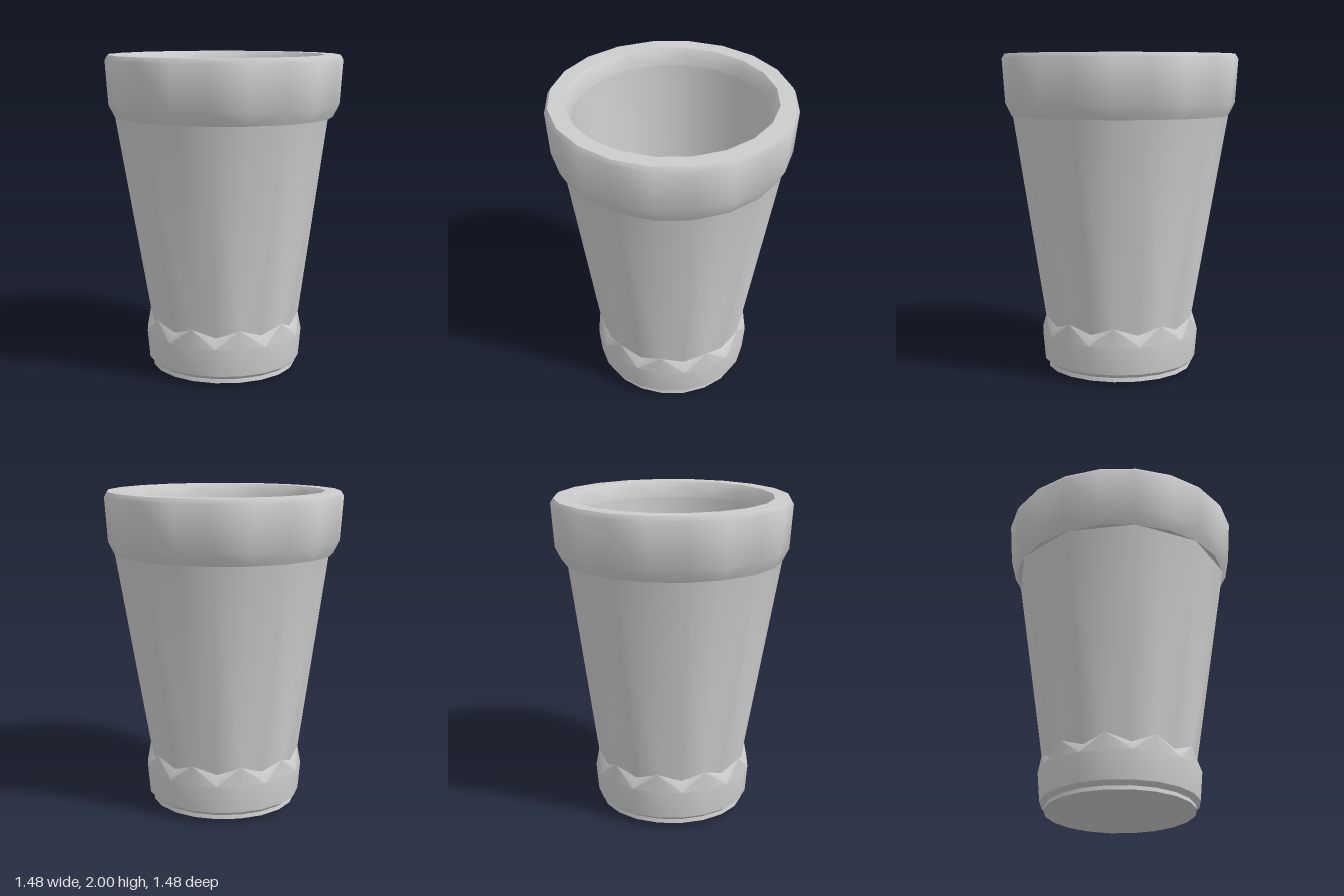
import * as THREE from 'three';
import { toCreasedNormals } from 'three/addons/utils/BufferGeometryUtils.js';

const SIDES = 20;
const MID = Math.cos(Math.PI / 10); // chord midpoint of a ten-sided ring

// Lofts 20-sided rings. Each ring is [r, y] or [r, y, rOdd, yOdd] when the
// corners alternate; `flipRow` is the band whose diagonals are mirrored.
function loft(rings, flipRow = -1) {
  const pos = [], index = [];
  for (const [r, y, rOdd = r, yOdd = y] of rings) {
    for (let j = 0; j < SIDES; j++) {
      const a = (j / SIDES) * Math.PI * 2;
      const odd = j % 2 === 1;
      const rad = odd ? rOdd : r;
      pos.push(rad * Math.cos(a), odd ? yOdd : y, rad * Math.sin(a));
    }
  }
  for (let i = 0; i < rings.length - 1; i++) {
    for (let j = 0; j < SIDES; j++) {
      const k = (j + 1) % SIDES;
      const a = i * SIDES + j, b = a + SIDES;
      const c = i * SIDES + k, d = c + SIDES;
      if ((j % 2 === 0) !== (i === flipRow)) index.push(a, b, c, b, d, c);
      else index.push(a, b, d, a, d, c);
    }
  }
  const geo = new THREE.BufferGeometry();
  geo.setAttribute('position', new THREE.Float32BufferAttribute(pos, 3));
  geo.setIndex(index);
  return toCreasedNormals(geo, 0.7);
}

// Closing disc that faces up (dir 1) or down (dir -1)
function disc(r, y, dir) {
  const geo = new THREE.CircleGeometry(r, SIDES);
  geo.rotateX(-dir * Math.PI / 2);
  geo.translate(0, y, 0);
  return geo;
}

export function createModel() {
  const group = new THREE.Group();
  const material = new THREE.MeshStandardMaterial({ color: 0xcccccc });
  const add = (name, geo) => {
    const mesh = new THREE.Mesh(geo, material);
    mesh.name = name;
    group.add(mesh);
  };

  // Foot bulge, zigzag waist and ten-sided tapering wall
  add('body', loft([
    [0.36, 0],
    [0.46, 0.025],
    [0.455, 0.05],
    [0.485, 0.075],
    [0.5, 0.25],
    [0.456, 0.31, 0.48, 0.36],
    [0.68, 1.62, 0.68 * MID, 1.62],
  ], 4));
  add('underside', disc(0.36, 0, -1));

  // Thick collar with bevelled edges and a rounded inner lip
  add('rim', loft([
    [0.58, 1.62],
    [0.68, 1.62],
    [0.72, 1.7],
    [0.738, 1.97],
    [0.72, 2],
    [0.625, 2],
    [0.6, 1.965],
    [0.585, 1.9],
  ]));

  // Hollow interior
  add('innerWall', loft([
    [0.585, 1.9],
    [0.445, 0.32],
    [0.425, 0.24],
  ]));
  add('innerFloor', disc(0.425, 0.24, 1));

  return group;
}
